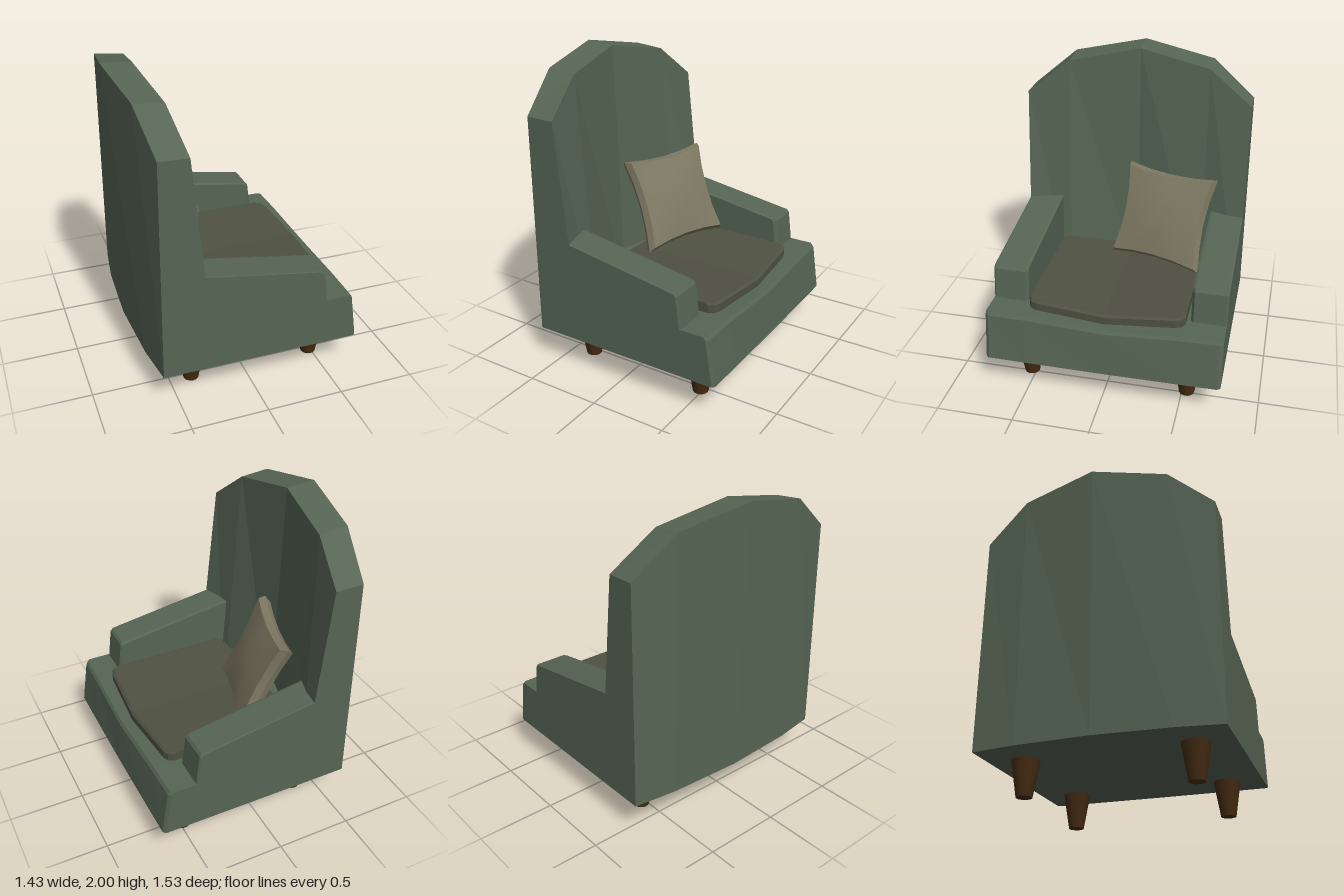
import * as THREE from 'three';
import { mergeVertices, toCreasedNormals } from 'three/addons/utils/BufferGeometryUtils.js';

const GREEN = 0x566554, OLIVE = 0x4f5142, BEIGE = 0x7d7862, WOOD = 0x452c12;

function part(name, geometry, color, flatShading = true) {
  const mesh = new THREE.Mesh(geometry, new THREE.MeshStandardMaterial({ color, flatShading }));
  mesh.name = name;
  return mesh;
}

// Solid through convex counter-clockwise [x, y] outlines placed at rising z
function loft(sections) {
  const n = sections[0].pts.length, last = sections.length - 1;
  const positions = [], index = [];
  sections.forEach(({ z, pts }) => pts.forEach(([x, y]) => positions.push(x, y, z)));
  for (let s = 0; s < last; s++) {
    for (let i = 0; i < n; i++) {
      const a = s * n + i, b = s * n + (i + 1) % n;
      index.push(a, b, b + n, a, b + n, a + n);
    }
  }
  for (let i = 1; i < n - 1; i++) {
    index.push(0, i + 1, i, last * n, last * n + i, last * n + i + 1);
  }
  const g = new THREE.BufferGeometry();
  g.setAttribute('position', new THREE.Float32BufferAttribute(positions, 3));
  g.setIndex(index);
  const flat = g.toNonIndexed();
  flat.computeVertexNormals();
  return flat;
}

// Mirrors sections listed from z = 0 outwards
function mirrored(half) {
  const other = half.slice(1).reverse().map(({ z, pts }) => ({ z: -z, pts }));
  return [...other, ...half];
}

export function createModel() {
  const chair = new THREE.Group();
  chair.name = 'armchair';

  // Curved backrest: bottom rear x, bottom front x, top front x/y, top rear x/y
  const backHalf = [
    [0, -0.665, -0.47, -0.52, 1.985, -0.717, 2],
    [0.48, -0.64, -0.34, -0.46, 1.89, -0.652, 1.91],
    [0.765, -0.6, -0.26, -0.41, 1.67, -0.597, 1.675],
  ].map(([z, rx, fx, tx, ty, bx, by]) => ({
    z, pts: [[rx, 0.23], [fx, 0.23], [tx, ty], [bx, by]],
  }));
  chair.add(part('backrest', loft(mirrored(backHalf)), GREEN));

  // Seat base with a sagging middle and a sloping front
  const baseHalf = [
    [0, 0.715, 0.682, 0.53], [0.5, 0.712, 0.67, 0.55],
    [0.745, 0.71, 0.665, 0.55], [0.765, 0.695, 0.65, 0.55],
  ].map(([z, bottom, top, y]) => ({
    z, pts: [[-0.5, 0.23], [bottom, 0.23], [top, y - 0.02], [top - 0.015, y], [-0.5, y]],
  }));
  chair.add(part('seatBase', loft(mirrored(baseHalf)), GREEN));

  // Sloping armrests
  const armProfile = (inset) => [
    [-0.42, 0.5], [0.488 - inset, 0.5], [0.455 - inset, 0.755 - inset * 0.2],
    [0.44 - inset, 0.772 - inset * 0.2], [-0.42, 0.91 - inset * 0.2],
  ];
  for (const side of [1, -1]) {
    const sections = [[0.535, 0.02], [0.552, 0], [0.755, 0], [0.765, 0.01]]
      .map(([z, inset]) => ({ z: z * side, pts: armProfile(inset) }));
    if (side < 0) sections.reverse();
    chair.add(part(side > 0 ? 'leftArm' : 'rightArm', loft(sections), GREEN));
  }

  // Loose seat cushion with rounded corners, following the sag
  const cushionHalf = [
    [0, -0.362, 0.598, 0], [0.45, -0.335, 0.565, 0.022],
    [0.49, -0.32, 0.55, 0.024], [0.51, -0.28, 0.515, 0.024],
  ].map(([z, back, front, lift]) => ({
    z, pts: [
      [back, 0.52 + lift], [front, 0.52 + lift], [front, 0.578 + lift],
      [front - 0.015, 0.591 + lift], [back + 0.015, 0.591 + lift], [back, 0.578 + lift],
    ],
  }));
  chair.add(part('seatCushion', loft(mirrored(cushionHalf)), OLIVE));

  // Throw pillow: pinched sides, softened rim, puffed faces
  let pillowGeo = new THREE.BoxGeometry(2, 2, 2, 4, 4, 2);
  const p = pillowGeo.attributes.position;
  for (let i = 0; i < p.count; i++) {
    const u = p.getX(i), v = p.getY(i), w = p.getZ(i);
    const rim = 1 - 0.07 * Math.abs(w);
    p.setXYZ(i,
      u * rim * (0.33 - 0.035 * (1 - v * v)),
      v * rim * (0.32 - 0.03 * (1 - u * u)),
      w * (0.045 + 0.035 * (1 - u * u) * (1 - v * v)));
  }
  pillowGeo.deleteAttribute('normal');
  pillowGeo.deleteAttribute('uv');
  pillowGeo = toCreasedNormals(mergeVertices(pillowGeo), 0.5);
  const pillow = part('throwPillow', pillowGeo, BEIGE, false);
  pillow.position.set(-0.2, 0.915, -0.235);
  pillow.rotation.set(-0.42, 1.277, 0, 'YXZ');
  chair.add(pillow);

  // Tapered legs
  const legGeo = new THREE.CylinderGeometry(0.09, 0.05, 0.235, 16);
  for (const [x, end] of [[0.485, 'front'], [-0.355, 'rear']]) {
    for (const [z, side] of [[0.53, 'Left'], [-0.53, 'Right']]) {
      const leg = part(`${end}${side}Leg`, legGeo, WOOD, false);
      leg.position.set(x, 0.1175, z);
      chair.add(leg);
    }
  }
  return chair;
}
